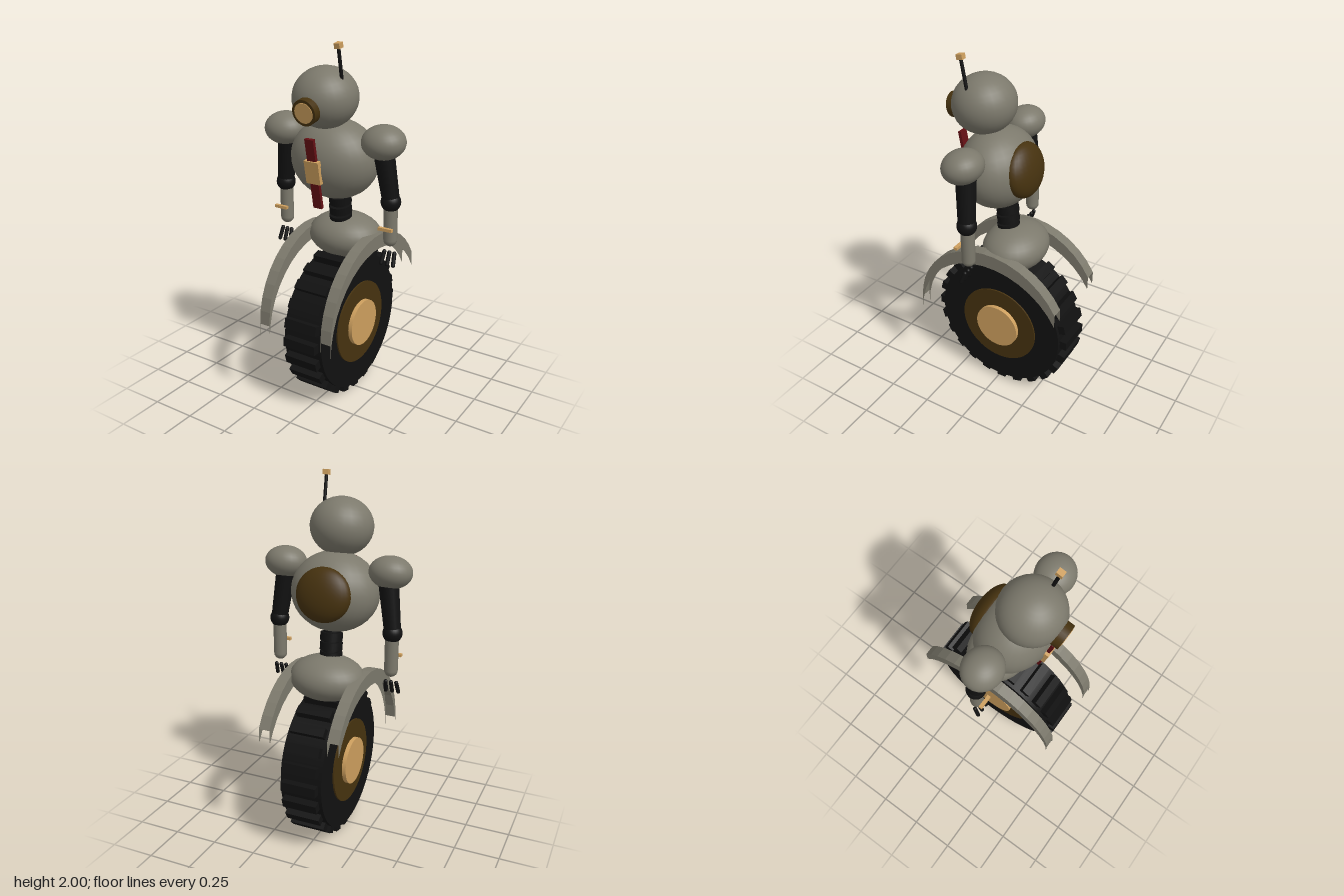
import * as THREE from 'three';

const mat = (name, color, side = THREE.FrontSide) => {
  const m = new THREE.MeshStandardMaterial({ color, side });
  m.name = name;
  return m;
};

export function createModel() {
  const robot = new THREE.Group();
  robot.name = 'unicycleRobot';
  const grey = mat('warm grey shell', 0x7c796c, THREE.DoubleSide);
  const black = mat('black rubber', 0x111111);
  const gold = mat('pale gold', 0xcd9f5e);
  const bronze = mat('dark bronze', 0x46320f);
  const red = mat('deep red', 0x641014);
  const LEAN = 0.19; // the upper body tips forward

  const add = (name, geo, material, pos, rotX = 0, parent = robot) => {
    const mesh = new THREE.Mesh(geo, material);
    mesh.name = name;
    mesh.position.set(...pos);
    mesh.rotation.x = rotX;
    parent.add(mesh);
    return mesh;
  };
  const ball = (rx, ry, rz) => new THREE.SphereGeometry(1, 28, 18).scale(rx, ry, rz);
  const box = (x, y, z) => new THREE.BoxGeometry(x, y, z);
  const axle = (r, width, n = 48) => new THREE.CylinderGeometry(r, r, width, n).rotateZ(Math.PI / 2);

  // Rod or capsule between two points
  const limb = (name, a, b, r0, r1, material, parent, rounded = false) => {
    const p = new THREE.Vector3(...a), q = new THREE.Vector3(...b);
    const dir = q.clone().sub(p), len = dir.length();
    const geo = rounded
      ? new THREE.CapsuleGeometry(r0, len - 2 * r0, 5, 16)
      : new THREE.CylinderGeometry(r1, r0, len, 18);
    const mesh = add(name, geo, material, p.add(q).multiplyScalar(0.5).toArray(), 0, parent);
    mesh.quaternion.setFromUnitVectors(new THREE.Vector3(0, 1, 0), dir.normalize());
  };

  // Wheel with square tread blocks
  const wheel = new THREE.Group();
  wheel.name = 'wheel';
  wheel.position.set(0, 0.424, -0.016);
  robot.add(wheel);
  add('tyre', axle(0.385, 0.238), black, [0, 0, 0], 0, wheel);
  add('wheelRing', axle(0.237, 0.256), bronze, [0, 0, 0], 0, wheel);
  add('hub', axle(0.132, 0.302), gold, [0, 0, 0], 0, wheel);
  for (let i = 0; i < 24; i++) {
    const a = (i * Math.PI) / 12;
    add('treadBlock', box(0.2, 0.06, 0.052), black,
      [0, 0.394 * Math.cos(a), 0.394 * Math.sin(a)], a, wheel);
  }

  // Mudguards: arched channels with thin skirts hanging straight down
  const fenderGeometry = () => {
    const steps = 16, pos = [];
    const section = [[0.165, -0.08], [0.165, 0], [0.228, 0], [0.228, -0.08]];
    const corner = (i, k) => {
      const a = THREE.MathUtils.degToRad(1 + (150 * i) / steps);
      const [x, drop] = section[k];
      return [x, 0.505 + 0.463 * Math.sin(a) + drop, -0.02 + 0.463 * Math.cos(a)];
    };
    for (let i = 0; i < steps; i++) {
      for (let k = 0; k < 3; k++) {
        const a = corner(i, k), b = corner(i, k + 1), c = corner(i + 1, k + 1), d = corner(i + 1, k);
        pos.push(...a, ...b, ...c, ...a, ...c, ...d);
      }
    }
    const g = new THREE.BufferGeometry();
    g.setAttribute('position', new THREE.Float32BufferAttribute(pos, 3));
    g.computeVertexNormals();
    return g;
  };
  add('leftFender', fenderGeometry(), grey, [0, 0, 0]);
  add('rightFender', fenderGeometry(), grey, [-0.393, 0, 0]);

  // Pelvis and ringed waist
  add('pelvis', ball(0.212, 0.125, 0.175), grey, [0, 0.925, -0.055]);
  for (let i = 0; i < 3; i++) {
    add('waistRing', new THREE.CylinderGeometry(0.062, 0.062, 0.044, 24), black,
      [0, 1.035 + i * 0.054, -0.008 + i * 0.004], LEAN);
  }
  add('waistCore', new THREE.CylinderGeometry(0.045, 0.045, 0.2, 16), black, [0, 1.1, -0.005], LEAN);

  // Torso, back dome and chest trim
  add('torso', ball(0.247, 0.218, 0.2), grey, [0, 1.382, 0.05], LEAN);
  add('backDome', ball(0.155, 0.146, 0.075), bronze, [0, 1.4, -0.103], LEAN);
  add('chestStripe', box(0.052, 0.387, 0.018), red, [0, 1.34, 0.244], LEAN);
  add('chestPanel', box(0.086, 0.125, 0.026), gold, [0, 1.352, 0.25], LEAN);

  // Head, eye and antenna
  add('head', ball(0.172, 0.157, 0.17), grey, [0, 1.716, 0.136], LEAN);
  const eye = new THREE.Group();
  eye.name = 'eye';
  eye.position.set(0, 1.672, 0.302);
  eye.rotation.x = LEAN;
  robot.add(eye);
  add('eyeRim', new THREE.CylinderGeometry(0.068, 0.068, 0.05, 28), bronze, [0, 0, 0], Math.PI / 2, eye);
  add('eyeLens', new THREE.CylinderGeometry(0.053, 0.053, 0.008, 28), gold, [0, 0, 0.024], Math.PI / 2, eye);
  limb('antennaRod', [0.115, 1.8, 0.16], [0.115, 1.98, 0.194], 0.009, 0.009, black, robot);
  add('antennaTip', box(0.031, 0.027, 0.035), gold, [0.115, 1.984, 0.193], LEAN);

  // Arms, mirrored
  for (const s of [1, -1]) {
    const arm = new THREE.Group();
    arm.name = s > 0 ? 'leftArm' : 'rightArm';
    robot.add(arm);
    add('shoulder', ball(0.117, 0.087, 0.107), grey, [s * 0.303, 1.511, 0.071], LEAN, arm);
    limb('upperArm', [s * 0.336, 1.19, 0.037], [s * 0.295, 1.48, 0.06], 0.045, 0.055, black, arm);
    add('elbow', ball(0.053, 0.053, 0.053), black, [s * 0.334, 1.195, 0.038], 0, arm);
    limb('forearm', [s * 0.333, 0.95, 0.034], [s * 0.333, 1.2, 0.036], 0.037, 0.037, grey, arm, true);
    add('wristBar', box(0.08, 0.016, 0.02), gold, [s * 0.333, 1.058, 0.088], 0, arm);
    for (const f of [-1, 0, 1]) {
      limb('finger', [s * 0.333 + f * 0.037, 0.845, 0.066], [s * 0.333 + f * 0.029, 0.925, 0.036],
        0.011, 0.011, black, arm, true);
    }
  }
  return robot;
}
